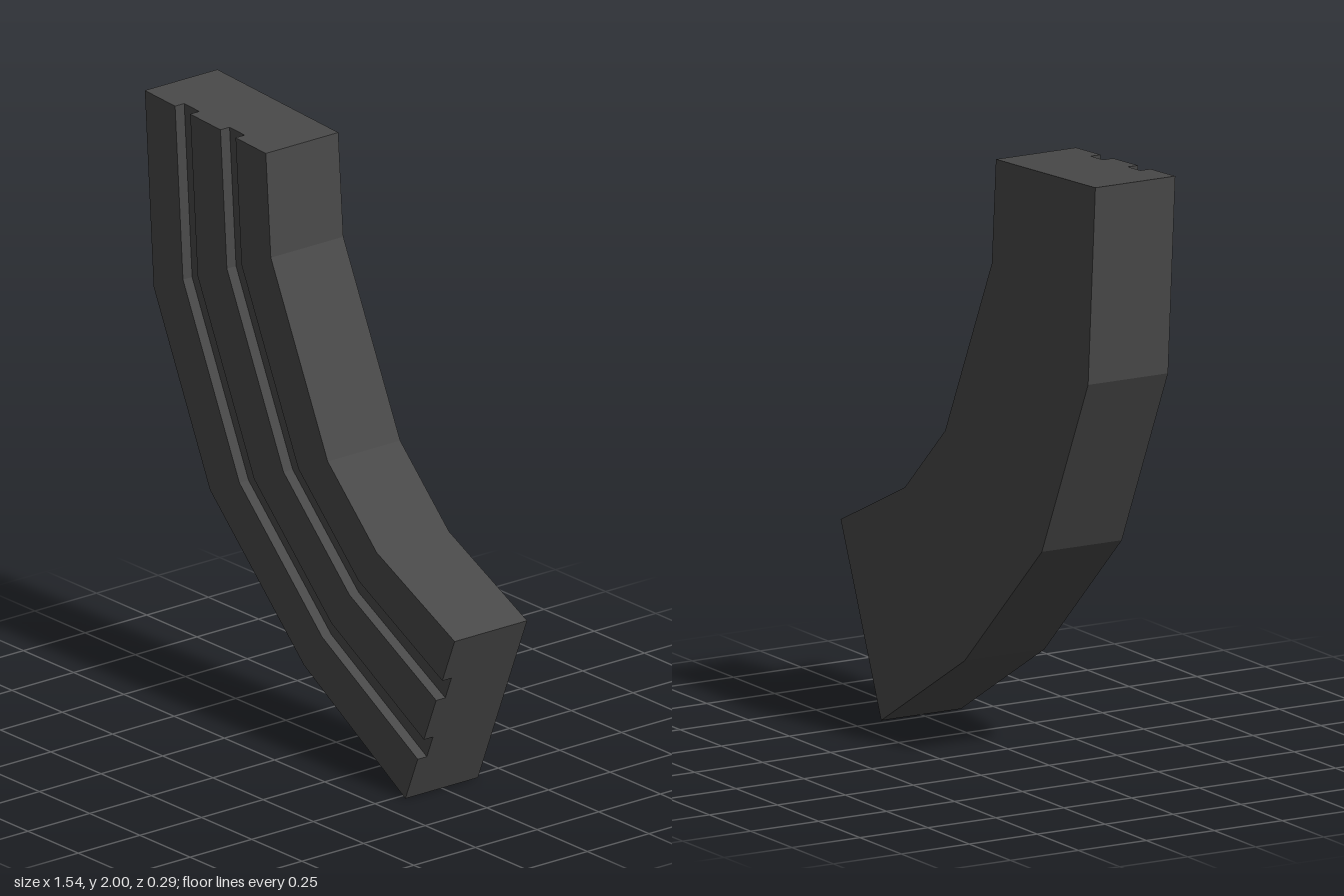
import * as THREE from 'three';

// Stations along the curve: [outer x, outer y, inner x, inner y]
const stations = [
  [-0.772, 2.0, -0.17, 1.965],
  [-0.728, 1.352, -0.145, 1.622],
  [-0.448, 0.752, 0.138, 1.02],
  [0.02, 0.3, 0.382, 0.785],
  [0.525, 0.0, 0.77, 0.6],
];

// Cross-section: t runs from outer edge (0) to inner edge (1), with two grooves in the front
const D = 0.147, G = 0.11;
const profile = [
  [0, -D], [1, -D], [1, D],
  [0.75, D], [0.75, G], [0.625, G], [0.625, D],
  [0.375, D], [0.375, G], [0.25, G], [0.25, D],
  [0, D],
];

function sweepGeometry() {
  const positions = [], index = [], n = profile.length;
  for (const [ox, oy, ix, iy] of stations) {
    for (const [t, z] of profile) positions.push(ox + (ix - ox) * t, oy + (iy - oy) * t, z);
  }
  // Walls between neighbouring stations
  for (let s = 0; s < stations.length - 1; s++) {
    for (let i = 0; i < n; i++) {
      const j = (i + 1) % n;
      const a = s * n + i, b = s * n + j, c = b + n, d = a + n;
      index.push(a, b, c, a, c, d);
    }
  }
  // End caps
  const last = (stations.length - 1) * n;
  const outline = profile.map(([t, z]) => new THREE.Vector2(t, z));
  for (const [a, b, c] of THREE.ShapeUtils.triangulateShape(outline, [])) {
    index.push(a, c, b, last + a, last + b, last + c);
  }
  const indexed = new THREE.BufferGeometry();
  indexed.setAttribute('position', new THREE.Float32BufferAttribute(positions, 3));
  indexed.setIndex(index);
  const geometry = indexed.toNonIndexed();
  geometry.computeVertexNormals();
  return geometry;
}

export function createModel() {
  const group = new THREE.Group();
  group.name = 'curvedMagazine';
  const material = new THREE.MeshStandardMaterial({ color: 0x484848, flatShading: true });
  const body = new THREE.Mesh(sweepGeometry(), material);
  body.name = 'groovedBody';
  group.add(body);
  return group;
}
